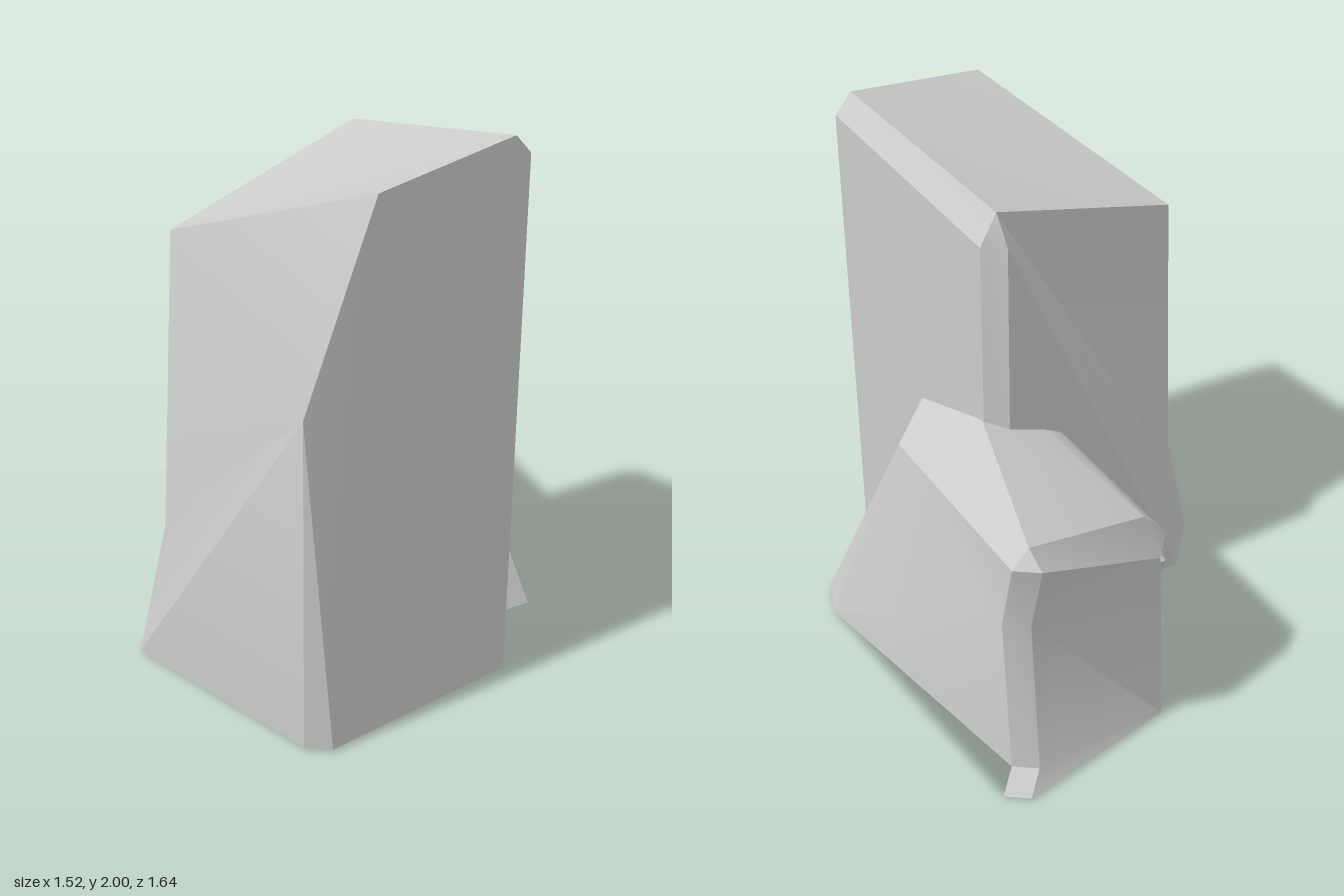
import * as THREE from 'three';
import { toCreasedNormals } from 'three/addons/utils/BufferGeometryUtils.js';

const material = new THREE.MeshStandardMaterial({ color: 0xcccccc });

// Faceted solid from named corners; every face is fanned and turned outward from the middle.
function rock(name, corners, faces, crease = 0.45) {
  const pts = {};
  const mid = new THREE.Vector3();
  const keys = Object.keys(corners);
  for (const k of keys) mid.add(pts[k] = new THREE.Vector3(...corners[k]));
  mid.divideScalar(keys.length);
  const pos = [];
  for (const face of faces) {
    const f = face.split(' ').map(k => pts[k]);
    for (let i = 1; i < f.length - 1; i++) {
      let [a, b, c] = [f[0], f[i], f[i + 1]];
      const n = b.clone().sub(a).cross(c.clone().sub(a));
      const out = a.clone().add(b).add(c).divideScalar(3).sub(mid);
      if (n.dot(out) < 0) [b, c] = [c, b];
      for (const p of [a, b, c]) pos.push(p.x, p.y, p.z);
    }
  }
  const g = new THREE.BufferGeometry();
  g.setAttribute('position', new THREE.Float32BufferAttribute(pos, 3));
  const mesh = new THREE.Mesh(toCreasedNormals(g, crease), material);
  mesh.name = name;
  return mesh;
}

// Tall block with a slanted top, chamfered corners and a flared back corner
function tallRock() {
  const y = 0.01;
  return rock('tallRock', {
    A: [0.23, 2, 0.75], B: [-0.34, 1.92, 0.75], C: [-0.63, 1.24, 0.75],
    P: [-0.56, 1.62, -0.08], T: [0.23, 1.87, -0.08],
    N: [0.3, 1.93, 0.75], M: [0.3, 1.76, -0.08], K: [0.23, 1.76, -0.14],
    Q: [-0.63, 0.5, -0.08], R: [-0.56, 0.5, -0.14],
    C0: [-0.63, y, 0.75], F: [-0.56, y, 0.82], G: [0.23, y, 0.82], H: [0.3, y, 0.75],
    I: [0.3, y, -0.08], J: [0.23, y, -0.14], E: [-0.56, y, -0.24], D: [-0.76, y, -0.08],
  }, [
    'A B P T', 'B C P', 'A N M T', 'T M K',            // top and its chamfer
    'F G N', 'G H N', 'F N A B C', 'C C0 F',           // front
    'N H I M', 'M I J K',                              // +x side
    'C C0 D', 'C D Q', 'C Q P', 'P Q R', 'Q D E R',    // -x side
    'T P R', 'T R K', 'K R E J',                       // back
    'C0 F G H I J E D',                                // underside
  ]);
}

// Leaning block beside it, pinched at its back corner
function mediumRock() {
  const y = 0.01;
  return rock('mediumRock', {
    a: [0.61, 1.05, -0.71], b: [0.1, 0.91, -0.71], c: [0.08, 0.97, 0], d: [0.3, 1.05, -0.07],
    e: [0.48, 0.87, 0.2], f: [0.29, 0.95, 0.3], g: [0.48, 0.68, 0.27], h: [0.29, 0.81, 0.37],
    h2: [0.29, 0.48, 0.37], o: [0.27, y, 0.52], j: [0.61, y, 0.56], i: [0.69, y, 0.42],
    r: [0.68, 0.99, -0.71], k: [0.61, 0.99, -0.78], p: [0.67, 0.7, -0.64], q: [0.6, 0.7, -0.71],
    s: [0.69, 0.08, -0.71], u: [0.62, 0.08, -0.78], v: [0.76, y, -0.75], w: [0.69, y, -0.82],
    n: [0.08, 0.76, -0.78], l: [-0.01, 0.78, -0.71], m: [-0.01, 0.92, 0],
    x0: [0.06, y, -0.81], y0: [0, y, -0.39], z0: [0, y, 0.4],
  }, [
    'a b d', 'b c d', 'c f d', 'd f e', 'a d e', 'a r e',   // top
    'e f h g', 'g h h2', 'g h2 o', 'g o j', 'e g j i',      // front
    'e r p', 'e p i', 'i p s', 'i s v',                     // +x side
    'a k r', 'r k q p', 'p q u s', 's u w v',               // pinched corner
    'a k n b', 'k n q', 'q n x0', 'q x0 u', 'u x0 w',       // back
    'b n l', 'b l m c', 'n l y0 x0', 'l m y0',              // -x side
    'm c f h h2 o z0 y0', 'v w x0 y0 z0 o j i',             // inner side, underside
  ]);
}

// Small stump at the back: a stack of rings with a narrow waist and a low peak
function smallRock() {
  const outline = [[-0.36, -0.33], [-0.29, -0.46], [-0.06, -0.43], [0, -0.39],
    [0, 0], [-0.07, 0.03], [-0.3, 0.03], [-0.37, -0.03]];
  const rings = [[0, 1], [0.2, 0.86], [0.32, 0.95], [0.375, 0.76]];
  const corners = { peak: [-0.1, 0.41, -0.14] };
  const faces = [];
  const n = outline.length;
  rings.forEach(([y, s], r) => outline.forEach(([x, z], i) => {
    corners[`${r}_${i}`] = [-0.18 + (x + 0.18) * s, y, -0.2 + (z + 0.2) * s];
    const k = (i + 1) % n;
    faces.push(r < rings.length - 1
      ? `${r}_${i} ${r}_${k} ${r + 1}_${k} ${r + 1}_${i}`
      : `${r}_${i} ${r}_${k} peak`);
  }));
  faces.push(outline.map((_, i) => `0_${i}`).join(' '));
  return rock('smallRock', corners, faces);
}

export function createModel() {
  const group = new THREE.Group();
  group.name = 'rockCluster';
  group.add(tallRock(), mediumRock(), smallRock());
  return group;
}
